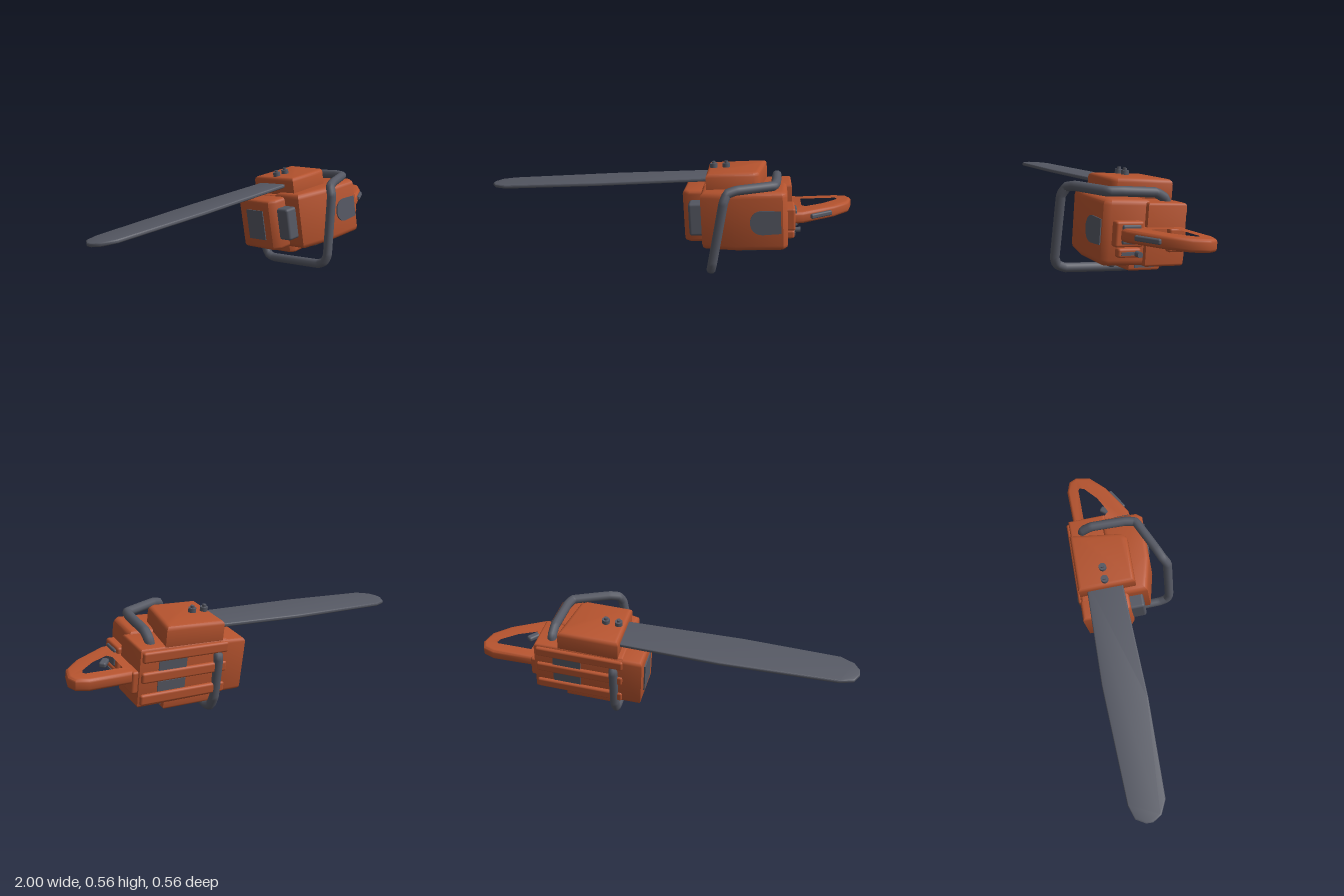
import * as THREE from 'three';
import { toCreasedNormals } from 'three/addons/utils/BufferGeometryUtils.js';
import { RoundedBoxGeometry } from 'three/addons/geometries/RoundedBoxGeometry.js';

export function createModel() {
  const model = new THREE.Group();
  model.name = 'chainsaw';
  const orange = new THREE.MeshStandardMaterial({ color: 0xb5532e });
  orange.name = 'orange casing';
  const grey = new THREE.MeshStandardMaterial({ color: 0x555863 });
  grey.name = 'grey metal';

  // The saw lies on its side, leaning on its front handle
  const saw = new THREE.Group();
  saw.name = 'saw';
  saw.position.set(0.4, 0.3, -0.05);
  saw.rotation.set(-0.1, 0, 0.08);
  model.add(saw);

  function add(name, geometry, material, parent = saw) {
    const mesh = new THREE.Mesh(geometry, material);
    mesh.name = name;
    parent.add(mesh);
    return mesh;
  }
  // Box given by its limits on each axis
  function box(name, [x0, x1], [y0, y1], [z0, z1], material, r = 0.012) {
    const g = r > 0
      ? new RoundedBoxGeometry(x1 - x0, y1 - y0, z1 - z0, 2, r)
      : new THREE.BoxGeometry(x1 - x0, y1 - y0, z1 - z0);
    g.translate((x0 + x1) / 2, (y0 + y1) / 2, (z0 + z1) / 2);
    return add(name, g, material);
  }
  // Outline in x and z, raised from y0 to y1 with rounded edges
  function slab(name, points, y0, y1, bevel, material, hole) {
    const flat = (list) => list.map(([x, z]) => new THREE.Vector2(x, -z));
    const shape = new THREE.Shape(flat(points));
    if (hole) shape.holes.push(new THREE.Path(flat(hole)));
    const g = new THREE.ExtrudeGeometry(shape, {
      depth: y1 - y0 - 2 * bevel, bevelEnabled: true, bevelThickness: bevel,
      bevelSize: bevel, bevelOffset: -bevel, bevelSegments: 3,
    });
    g.rotateX(-Math.PI / 2).translate(0, y0 + bevel, 0);
    return add(name, toCreasedNormals(g, 0.75), material);
  }
  function cylinder(name, r, h, [x, y, z], material, axis = 'y') {
    const g = new THREE.CylinderGeometry(r, r, h, 16);
    if (axis === 'z') g.rotateX(Math.PI / 2);
    if (axis === 'x') g.rotateZ(Math.PI / 2);
    return add(name, g.translate(x, y, z), material);
  }

  // Guide bar
  slab('guideBar', [
    [-1.388, -0.05], [-1.388, -0.015], [-1.36, 0.03], [-1.29, 0.063], [-0.78, 0.068],
    [-0.1, 0.04], [-0.1, -0.15], [-0.68, -0.155], [-1.29, -0.125], [-1.36, -0.1],
  ], 0.186, 0.206, 0.006, grey);

  // Clutch cover with its two nuts
  slab('clutchCover', [
    [-0.17, -0.195], [0.15, -0.195], [0.14, -0.12], [0.11, 0.085], [0.08, 0.11], [-0.17, 0.11],
  ], 0.12, 0.243, 0.022, orange);
  for (const x of [-0.135, -0.067]) {
    cylinder('coverNut', 0.02, 0.03, [x, 0.25, -0.045], grey);
    cylinder('coverStud', 0.01, 0.02, [x, 0.267, -0.045], grey);
  }

  // Engine casing halves and front housing
  slab('topCasing', [
    [-0.2, -0.02], [-0.2, 0.165], [-0.02, 0.207], [0.225, 0.21], [0.25, 0.18], [0.255, -0.02],
  ], -0.157, 0.158, 0.03, orange);
  slab('bottomCasing', [
    [-0.2, -0.195], [0.28, -0.2], [0.28, 0.005], [-0.2, 0.005],
  ], -0.158, 0.145, 0.014, orange);
  slab('frontHousing', [
    [-0.3, -0.205], [-0.15, -0.205], [-0.15, 0.06], [-0.27, 0.06], [-0.305, 0.03],
  ], -0.15, 0.14, 0.02, orange);
  box('muffler', [-0.27, -0.17], [-0.09, 0.09], [0.03, 0.135], grey, 0.015);
  box('mufflerVent', [-0.309, -0.302], [-0.09, 0.08], [-0.15, -0.02], grey, 0);

  // Ribs and inset panels on the underside
  for (const y of [0.105, 0.0, -0.115]) {
    box('undersideRib', [-0.2, 0.27], [y - 0.028, y + 0.028], [-0.214, -0.17], orange);
  }
  for (const y of [0.053, -0.057]) {
    box('undersidePanel', [0.03, 0.18], [y - 0.026, y + 0.026], [-0.204, -0.197], grey, 0);
  }

  // Air filter panel with a rounded end
  const panel = new THREE.Shape();
  panel.moveTo(0.215, -0.06);
  panel.lineTo(0.215, 0.06);
  panel.lineTo(0.12, 0.065);
  panel.bezierCurveTo(0.035, 0.065, 0.035, -0.065, 0.12, -0.065);
  add('filterPanel', new THREE.ExtrudeGeometry(panel, { depth: 0.009, bevelEnabled: false })
    .translate(0, 0, 0.206), grey);

  // Recoil starter housing, vent and pull grip
  slab('starterHousing', [
    [-0.147, -0.17], [0.12, -0.17], [0.12, 0.0], [-0.12, 0.02], [-0.147, 0.0],
  ], -0.212, -0.13, 0.014, orange);
  const vent = cylinder('starterVent', 0.065, 0.008, [0, 0, 0], grey);
  vent.position.set(-0.035, -0.211, -0.08);
  vent.scale.x = 1.3;
  box('starterSlot', [0.118, 0.124], [-0.195, -0.15], [-0.14, -0.03], grey, 0);
  cylinder('pullStem', 0.012, 0.09, [0.03, -0.178, 0.03], grey, 'z');
  box('pullGrip', [-0.03, 0.095], [-0.197, -0.161], [0.058, 0.09], grey, 0.014);

  // Rear boss, switch and handle
  box('rearBoss', [0.2, 0.29], [-0.06, 0.06], [0.025, 0.17], orange);
  box('handleSeal', [0.28, 0.3], [-0.045, 0.045], [0.045, 0.14], grey, 0.008);
  box('switchFrame', [0.2, 0.285], [-0.11, -0.065], [0.03, 0.15], orange);
  box('switchSlot', [0.283, 0.289], [-0.098, -0.082], [0.06, 0.135], grey, 0);
  cylinder('switchKnob', 0.014, 0.04, [0.3, -0.09, 0.055], grey, 'x');
  box('lowerMount', [0.25, 0.31], [-0.085, 0.03], [-0.19, -0.1], orange);
  slab('rearHandle', [
    [0.24, -0.17], [0.3, -0.183], [0.52, -0.19], [0.58, -0.17], [0.6, -0.125], [0.58, -0.045],
    [0.5, 0.035], [0.33, 0.14], [0.24, 0.15],
  ], -0.032, 0.03, 0.016, orange, [
    [0.312, -0.13], [0.33, -0.137], [0.52, -0.139], [0.543, -0.12], [0.53, -0.08],
    [0.45, -0.01], [0.345, 0.045], [0.312, 0.01],
  ]);
  const trigger = box('throttleTrigger', [-0.035, 0.035], [-0.014, 0.014], [-0.018, 0.018], grey, 0.01);
  trigger.position.set(0.365, 0, 0.012);
  trigger.rotation.y = 0.9;
  const lockout = box('throttleLockout', [-0.065, 0.065], [-0.013, 0.013], [-0.012, 0.012], grey, 0.008);
  lockout.position.set(0.425, 0, 0.084);
  lockout.rotation.y = 0.55;

  // Wrap-around front handle
  const path = [
    [0.59, 0.42, -0.2], [0.59, 0.46, -0.19], [0.588, 0.492, -0.14], [0.58, 0.512, 0.04],
    [0.565, 0.514, 0.1], [0.38, 0.512, 0.185], [0.335, 0.5, 0.207], [0.318, 0.455, 0.232],
    [0.275, 0.13, 0.25], [0.268, 0.088, 0.235], [0.266, 0.066, 0.19], [0.262, 0.026, -0.155],
    [0.26, 0.038, -0.197], [0.257, 0.1, -0.228], [0.247, 0.32, -0.258], [0.247, 0.345, -0.235],
  ].map((p) => new THREE.Vector3(...p));
  const loop = new THREE.CatmullRomCurve3(path, false, 'catmullrom', 0.08);
  add('frontHandle', new THREE.TubeGeometry(loop, 120, 0.025, 10), grey, model);

  return model;
}
